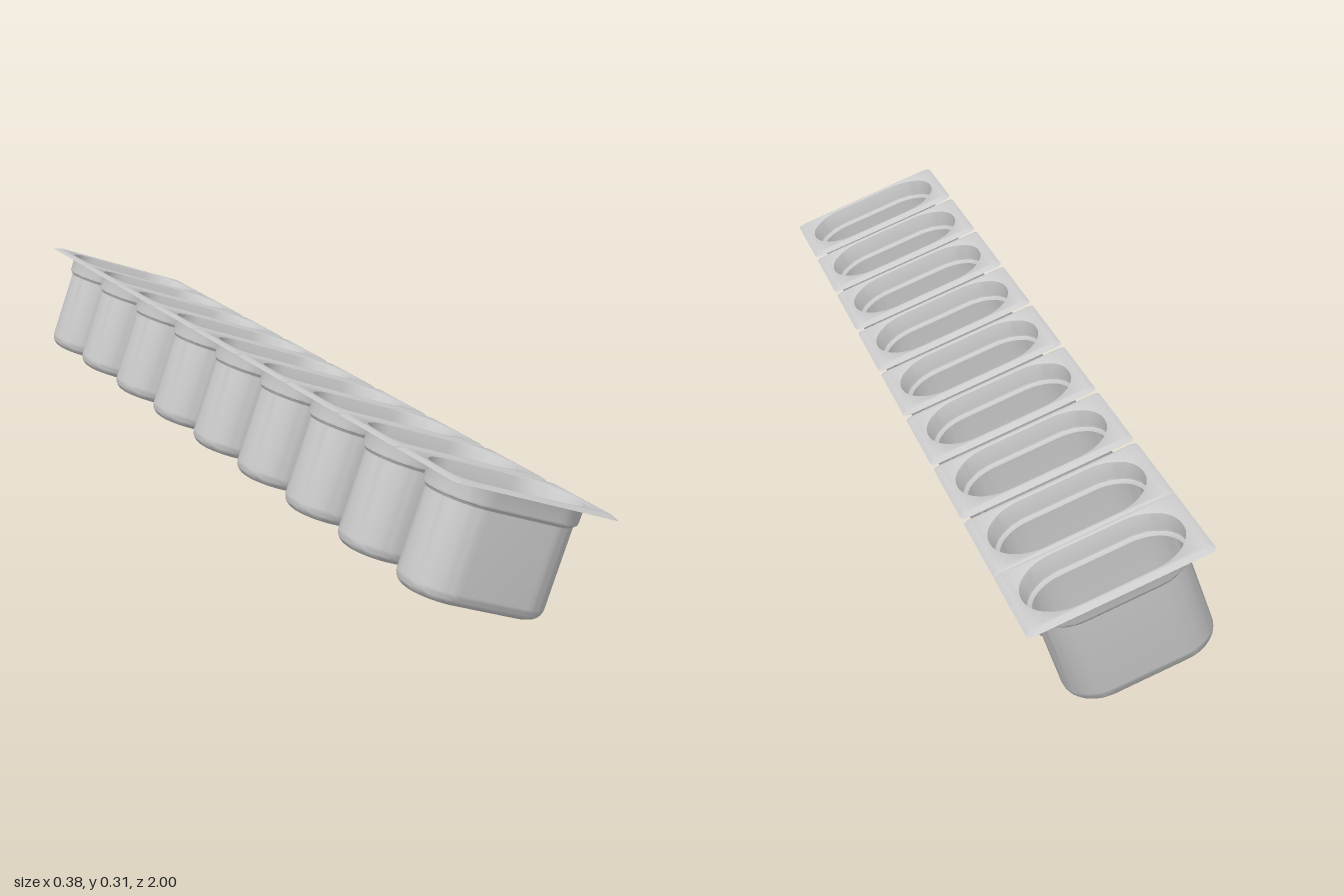
import * as THREE from 'three';
import { toCreasedNormals } from 'three/addons/utils/BufferGeometryUtils.js';

const CORNER_STEPS = 12;

// Rounded rectangle outline at height y
function ring(halfX, halfZ, radius, y) {
  const points = [];
  const signs = [[1, 1], [-1, 1], [-1, -1], [1, -1]];
  signs.forEach(([sx, sz], quarter) => {
    for (let i = 0; i <= CORNER_STEPS; i++) {
      const a = (quarter + i / CORNER_STEPS) * Math.PI / 2;
      points.push([
        sx * (halfX - radius) + radius * Math.cos(a),
        y,
        sz * (halfZ - radius) + radius * Math.sin(a),
      ]);
    }
  });
  return points;
}

// Nearly round-ended oval of half width w
const oval = (w, y) => ring(0.068 + w, w, w * 0.97, y);

// Skin a list of rings and close the last one with a flat floor
function loft(rings) {
  const n = rings[0].length;
  const positions = rings.flat(2);
  const index = [];
  for (let r = 0; r < rings.length - 1; r++) {
    for (let j = 0; j < n; j++) {
      const a = r * n + j, b = r * n + (j + 1) % n;
      index.push(a, a + n, b, b, a + n, b + n);
    }
  }
  const last = (rings.length - 1) * n;
  positions.push(0, rings[rings.length - 1][0][1], 0);
  for (let j = 0; j < n; j++) index.push(last + j, rings.length * n, last + (j + 1) % n);
  const geometry = new THREE.BufferGeometry();
  geometry.setAttribute('position', new THREE.Float32BufferAttribute(positions, 3));
  geometry.setIndex(index);
  return toCreasedNormals(geometry, 0.6);
}

function panGeometry() {
  const rings = [
    // turned-down rim edge and flat rim
    ring(0.18, 0.109, 0.012, 0),
    ring(0.168, 0.097, 0.008, 0.006),
    // rolled mouth, upper collar and step
    oval(0.0905, 0.006),
    oval(0.088, 0.0045),
    oval(0.0865, 0.001),
    oval(0.086, -0.03),
    oval(0.085, -0.034),
    oval(0.0815, -0.0365),
    oval(0.079, -0.04),
  ];
  // straight wall and rounded bottom edge
  const fillet = 0.025, depth = 0.221;
  for (let i = 0; i <= 6; i++) {
    const a = i / 6 * Math.PI / 2;
    rings.push(oval(0.079 - fillet * (1 - Math.cos(a)), -depth + fillet * (1 - Math.sin(a))));
  }
  return loft(rings);
}

export function createModel() {
  const group = new THREE.Group();
  group.name = 'panRow';
  const material = new THREE.MeshStandardMaterial({ color: 0xcccccc, side: THREE.DoubleSide });
  const geometry = panGeometry();

  // Nine tilted pans; the rearmost one sits tighter and overlaps its neighbour
  for (let i = 0; i < 9; i++) {
    const pan = new THREE.Mesh(geometry, material);
    pan.name = `pan${i + 1}`;
    pan.rotation.z = -THREE.MathUtils.degToRad(20);
    pan.position.set(0.019, 0.251, i < 8 ? 0.891 - i * 0.2255 : -0.891);
    group.add(pan);
  }
  return group;
}
